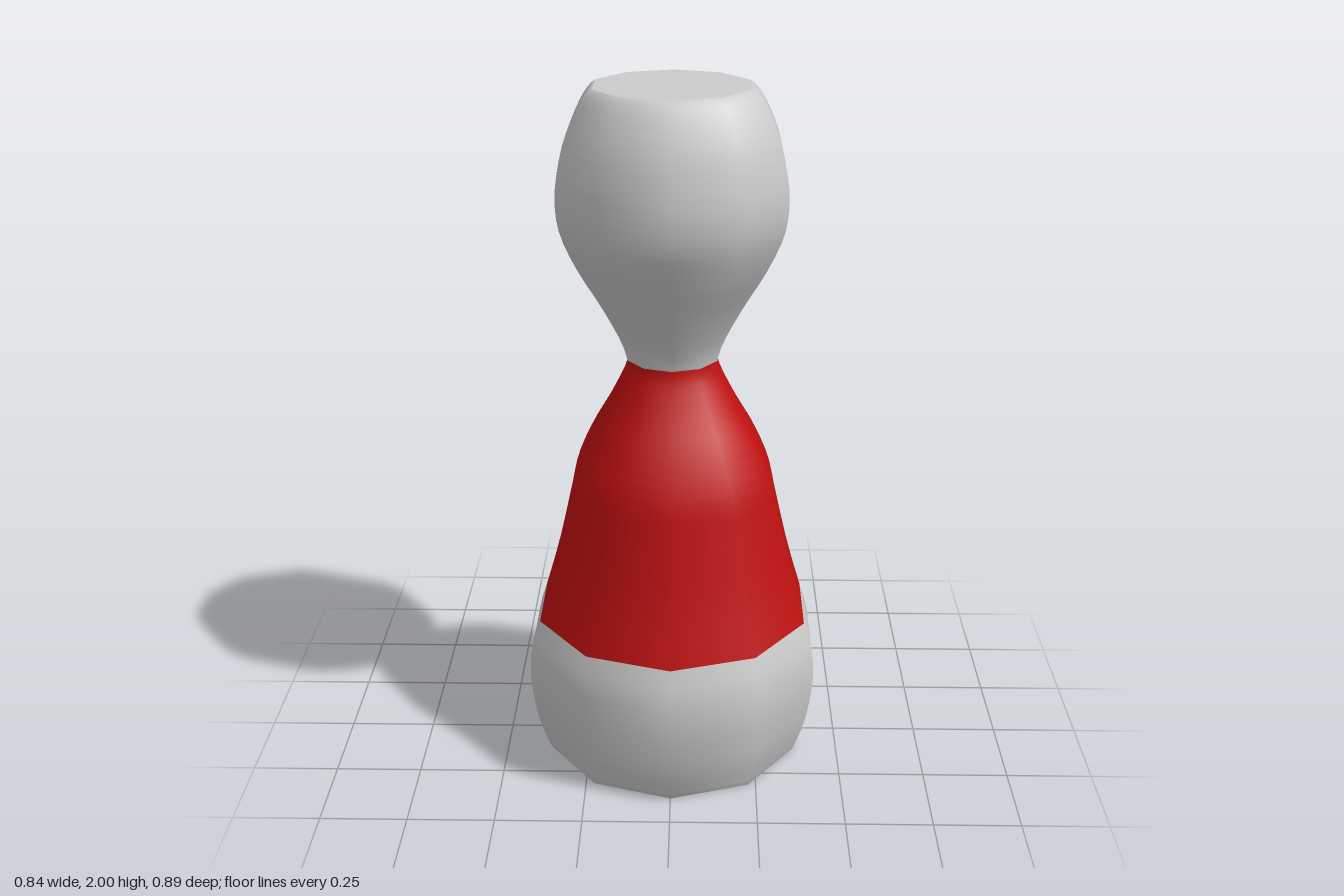
import * as THREE from 'three';

const SIDES = 10;
const vec = ([r, y]) => new THREE.Vector2(r, y);

export function createModel() {
  const group = new THREE.Group();
  const grey = new THREE.MeshStandardMaterial({ color: 0xcccccc });
  const red = new THREE.MeshStandardMaterial({ color: 0xc01010 });

  // Ten-sided turned section with smooth normals
  function turned(name, points, material) {
    const mesh = new THREE.Mesh(new THREE.LatheGeometry(points, SIDES), material);
    mesh.name = name;
    group.add(mesh);
  }
  const smooth = (points, n) => new THREE.SplineCurve(points.map(vec)).getPoints(n);

  // Flat underside and its narrow rim
  turned('underside', [[0, 0], [0.385, 0]].map(vec), grey);
  turned('bottomRim', [[0.385, 0], [0.392, 0.015]].map(vec), grey);

  // Bulging foot
  turned('base', smooth([
    [0.392, 0.015], [0.42, 0.1], [0.438, 0.2], [0.443, 0.28], [0.435, 0.36], [0.41, 0.44],
  ], 14), grey);

  // Coloured body narrowing to the neck
  turned('body', smooth([
    [0.41, 0.44], [0.363, 0.6], [0.32, 0.78], [0.294, 0.89], [0.245, 1.0],
    [0.187, 1.1], [0.142, 1.19], [0.133, 1.23],
  ], 20), red);

  // Head flaring out from the neck, closed by a flat top
  const head = smooth([
    [0.133, 1.23], [0.152, 1.29], [0.21, 1.4], [0.27, 1.5], [0.316, 1.6], [0.331, 1.68],
    [0.327, 1.76], [0.305, 1.86], [0.27, 1.94], [0.24, 1.985], [0.22, 2],
  ], 26);
  turned('head', [...head, vec([0, 2])], grey);

  return group;
}
